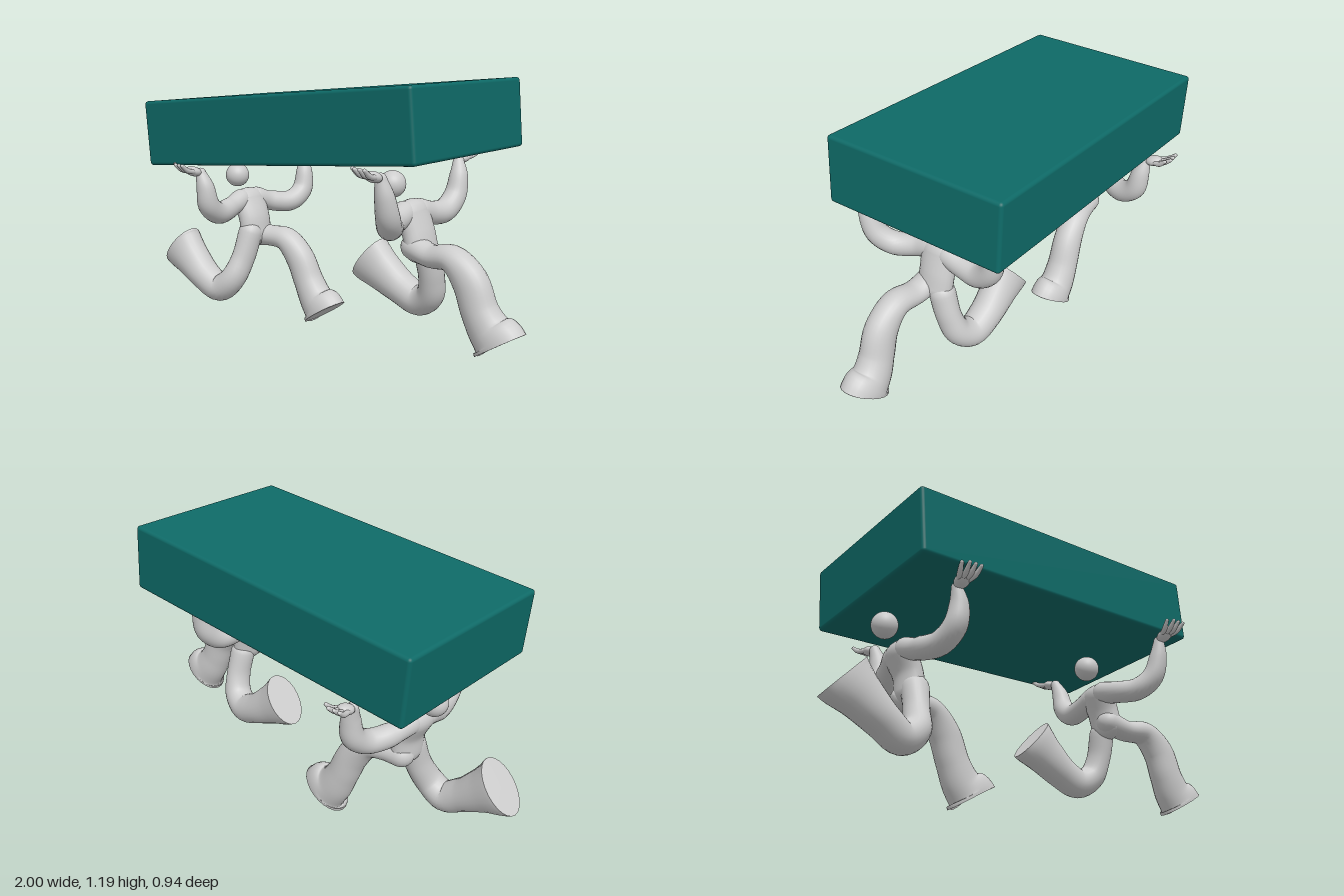
import * as THREE from 'three';
import { RoundedBoxGeometry } from 'three/addons/geometries/RoundedBoxGeometry.js';

const Z = new THREE.Vector3(0, 0, 1);
const X = new THREE.Vector3(1, 0, 0);

// Smooth limb swept through [x, y, z, radius, sidewaysRadius]; domed ends, or a flat cut at the far end
function limb(points, ref, flatEnd = false, seg = 28, sides = 24) {
  const path = new THREE.CatmullRomCurve3(points.map(p => new THREE.Vector3(p[0], p[1], p[2])));
  const radii = new THREE.CatmullRomCurve3(points.map(p => new THREE.Vector3(p[3], p[4] ?? p[3], 0)));
  const pos = [], idx = [];
  let rings = 0;
  const ring = (t, shift, scale) => {
    const T = path.getTangent(t), r = radii.getPoint(t);
    const side = ref.clone().addScaledVector(T, -ref.dot(T)).normalize();
    const other = T.clone().cross(side);
    const c = path.getPoint(t).addScaledVector(T, shift * Math.min(r.x, r.y));
    for (let j = 0; j < sides; j++) {
      const a = j / sides * Math.PI * 2;
      const v = c.clone().addScaledVector(side, r.y * scale * Math.cos(a))
        .addScaledVector(other, r.x * scale * Math.sin(a));
      pos.push(v.x, v.y, v.z);
    }
    rings++;
  };
  const dome = 6;
  for (let k = 0; k < dome; k++) {
    const a = (k + 0.02) / dome * Math.PI / 2;
    ring(0, -Math.cos(a), Math.sin(a));
  }
  for (let i = 0; i <= seg; i++) ring(i / seg, 0, 1);
  if (!flatEnd) for (let k = dome - 1; k >= 0; k--) {
    const a = (k + 0.02) / dome * Math.PI / 2;
    ring(1, Math.cos(a), Math.sin(a));
  }
  for (let i = 0; i < rings - 1; i++) for (let j = 0; j < sides; j++) {
    const a = i * sides + j, b = i * sides + (j + 1) % sides;
    idx.push(a, b, a + sides, b, b + sides, a + sides);
  }
  if (flatEnd) { // sole with its own vertices, so the rim stays sharp
    const first = rings * sides;
    ring(1, 0, 1);
    const c = path.getPoint(1);
    pos.push(c.x, c.y, c.z);
    for (let j = 0; j < sides; j++) idx.push(first + sides, first + j, first + (j + 1) % sides);
  }
  const g = new THREE.BufferGeometry();
  g.setAttribute('position', new THREE.Float32BufferAttribute(pos, 3));
  g.setIndex(idx);
  g.computeVertexNormals();
  return g;
}

// Open hand reaching outward along local +z, palm up
function makeHand(mat) {
  const hand = new THREE.Group();
  const palm = new THREE.Mesh(new THREE.SphereGeometry(1, 20, 14), mat);
  palm.name = 'palm';
  palm.scale.set(0.032, 0.022, 0.04);
  palm.position.set(0, 0.012, 0.04);
  palm.rotation.x = -0.3;
  hand.add(palm);
  [-0.03, -0.01, 0.01, 0.03].forEach((x, i) => {
    const long = i === 0 ? 0.8 : 1;
    const g = limb([
      [x * 0.6, 0.012, 0.045, 0.011],
      [x * 1.05, 0.022, 0.045 + 0.045 * long, 0.0115],
      [x * 1.3, 0.048, 0.045 + 0.08 * long, 0.008],
    ], X, false, 8, 10);
    const finger = new THREE.Mesh(g, mat);
    finger.name = i === 0 ? 'thumb' : 'finger';
    hand.add(finger);
  });
  return hand;
}

function makeRunner(name, mat, pose) {
  const g = new THREE.Group();
  g.name = name;
  const add = (n, geo) => {
    const m = new THREE.Mesh(geo, mat);
    m.name = n;
    g.add(m);
    return m;
  };
  add('head', new THREE.SphereGeometry(0.057, 32, 24)).position.set(...pose.head);
  add('torso', limb(pose.torso, Z));
  add('forwardLeg', limb(pose.forwardLeg, Z, true, 40));
  add('trailingLeg', limb(pose.trailingLeg, Z, true, 40));
  pose.arms.forEach((arm, i) => {
    add(i ? 'leftArm' : 'rightArm', limb(arm, X));
    const hand = makeHand(mat);
    hand.name = i ? 'leftHand' : 'rightHand';
    const [x, y, z] = arm[arm.length - 1];
    hand.position.set(x, y, z);
    hand.rotation.y = i ? Math.PI + 0.1 : -0.05;
    g.add(hand);
  });
  return g;
}

export function createModel() {
  const teal = new THREE.MeshStandardMaterial({ color: 0x0e6a67 });
  teal.name = 'teal';
  const grey = new THREE.MeshStandardMaterial({ color: 0xcccccc });
  grey.name = 'light grey';

  const model = new THREE.Group();
  model.name = 'runnersCarryingBlock';

  // Carried block, tilted up toward +x and turned slightly
  const block = new THREE.Mesh(new RoundedBoxGeometry(1.48, 0.293, 0.818, 3, 0.015), teal);
  block.name = 'block';
  block.position.set(-0.075, 0.98, -0.007);
  block.rotation.set(0, 0.077, 0.085);
  model.add(block);

  // Runner at the low end
  const lowArm = (s, dx) => [
    [-0.605, 0.578, s * 0.05, 0.05], [-0.585, 0.55, s * 0.14, 0.05],
    [-0.55, 0.545, s * 0.235, 0.051], [-0.53 + dx * 0.6, 0.595, s * 0.305, 0.05],
    [-0.527 + dx, 0.68, s * 0.325, 0.041], [-0.545 + dx, 0.745, s * 0.335, 0.024],
  ];
  model.add(makeRunner('lowRunner', grey, {
    head: [-0.685, 0.685, 0],
    torso: [[-0.555, 0.41, 0, 0.058, 0.085], [-0.565, 0.49, 0, 0.055, 0.085], [-0.605, 0.575, 0, 0.056, 0.095]],
    forwardLeg: [
      [-0.56, 0.40, -0.035, 0.055, 0.058], [-0.49, 0.40, -0.05, 0.05, 0.058], [-0.41, 0.39, -0.07, 0.057, 0.062],
      [-0.335, 0.31, -0.085, 0.07, 0.066], [-0.285, 0.2, -0.095, 0.072, 0.07], [-0.235, 0.115, -0.1, 0.087, 0.076],
      [-0.196, 0.083, -0.1, 0.115, 0.083], [-0.185, 0.066, -0.1, 0.124, 0.083],
    ],
    trailingLeg: [
      [-0.55, 0.42, 0.04, 0.058, 0.058], [-0.56, 0.3, 0.08, 0.053, 0.06], [-0.585, 0.2, 0.13, 0.06, 0.064],
      [-0.655, 0.148, 0.15, 0.068, 0.068], [-0.74, 0.19, 0.165, 0.073, 0.074], [-0.84, 0.262, 0.17, 0.096, 0.08],
      [-0.905, 0.31, 0.17, 0.123, 0.084], [-0.919, 0.322, 0.17, 0.128, 0.084],
    ],
    arms: [lowArm(1, 0), lowArm(-1, -0.02)],
  }));

  // Runner at the high end, with the stride on the other leg
  model.add(makeRunner('highRunner', grey, {
    head: [0.345, 0.76, 0.04],
    torso: [[0.48, 0.5, 0.01, 0.056, 0.085], [0.462, 0.57, 0.01, 0.055, 0.085], [0.43, 0.65, 0.015, 0.056, 0.095]],
    forwardLeg: [
      [0.465, 0.515, 0.04, 0.055, 0.058], [0.56, 0.493, 0.05, 0.047, 0.058], [0.67, 0.5, 0.055, 0.056, 0.062],
      [0.755, 0.425, 0.055, 0.075, 0.066], [0.8, 0.315, 0.05, 0.077, 0.07], [0.842, 0.245, 0.042, 0.09, 0.076],
      [0.88, 0.212, 0.04, 0.115, 0.083], [0.891, 0.195, 0.04, 0.122, 0.083],
    ],
    trailingLeg: [
      [0.48, 0.48, -0.03, 0.056, 0.058], [0.48, 0.37, -0.06, 0.052, 0.06], [0.455, 0.285, -0.085, 0.06, 0.064],
      [0.385, 0.243, -0.1, 0.068, 0.068], [0.295, 0.275, -0.1, 0.073, 0.072], [0.19, 0.338, -0.09, 0.095, 0.076],
      [0.127, 0.38, -0.085, 0.117, 0.08], [0.113, 0.391, -0.085, 0.12, 0.08],
    ],
    arms: [
      [[0.425, 0.65, 0.06, 0.052], [0.44, 0.628, 0.14, 0.05], [0.49, 0.625, 0.225, 0.051],
        [0.53, 0.675, 0.285, 0.049], [0.54, 0.765, 0.318, 0.04], [0.535, 0.835, 0.335, 0.024]],
      [[0.43, 0.65, -0.03, 0.052], [0.432, 0.63, -0.11, 0.05], [0.438, 0.63, -0.195, 0.051],
        [0.442, 0.685, -0.262, 0.049], [0.44, 0.77, -0.288, 0.04], [0.425, 0.83, -0.305, 0.024]],
    ],
  }));
  return model;
}
